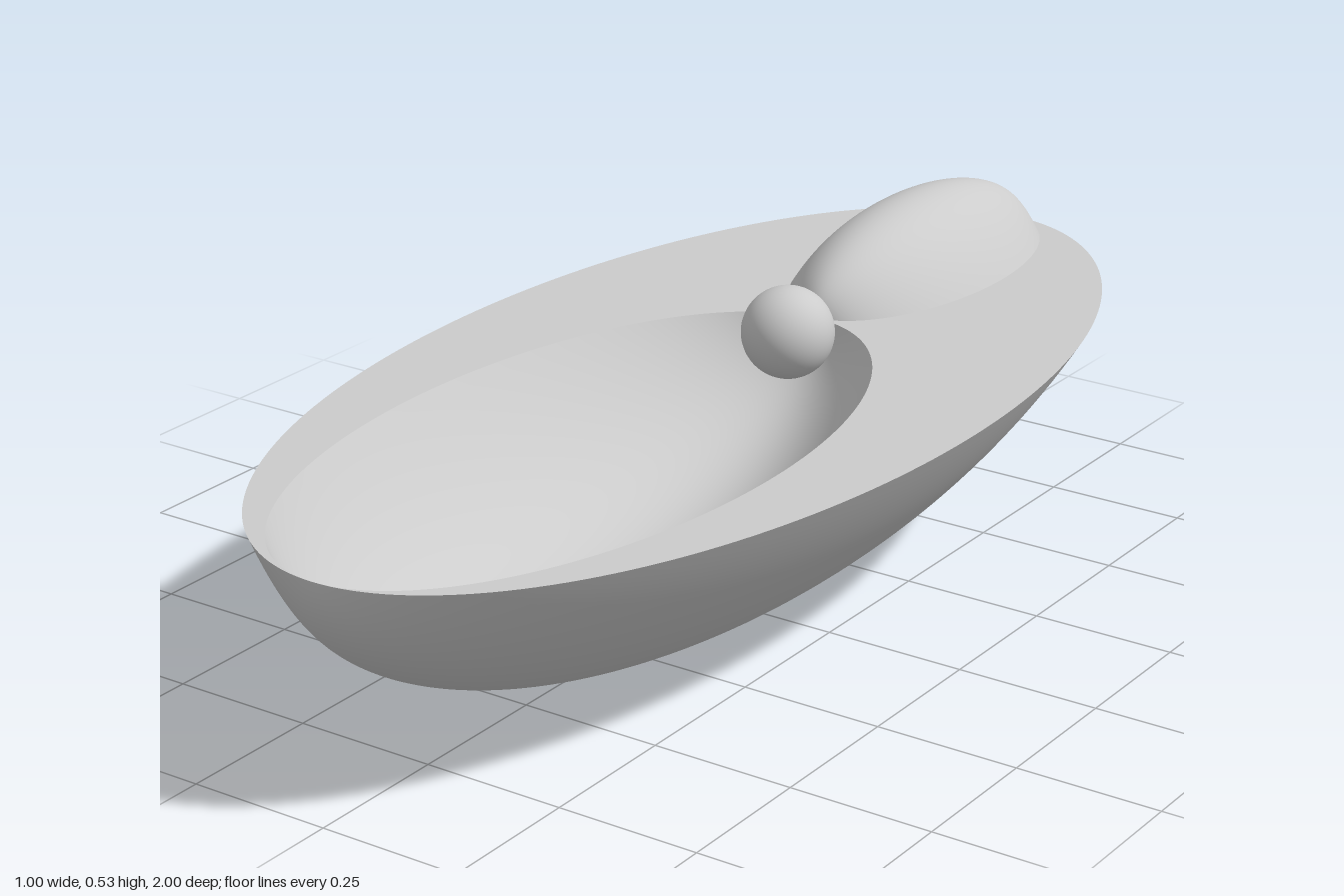
import * as THREE from 'three';

const RIM = 0.4; // height of the flat deck
const material = new THREE.MeshStandardMaterial({ color: 0xcccccc });

function addPart(group, name, geometry) {
  const mesh = new THREE.Mesh(geometry, material);
  mesh.name = name;
  group.add(mesh);
  return mesh;
}

// Half pod: parabolic cross-sections whose size follows an ellipse along z.
// up = 1 bulges upward, -1 sags downward; facing = 1 shows from above, -1 from below.
function podGeometry(scale, up, facing) {
  const geometry = new THREE.PlaneGeometry(2, 2, 64, 96);
  const p = geometry.attributes.position;
  for (let i = 0; i < p.count; i++) {
    const u = p.getX(i);
    const angle = p.getY(i) * Math.PI / 2;
    const s = Math.cos(angle) * scale;
    p.setXYZ(i, 0.5 * s * u, up * 0.4 * s * (1 - u * u), -facing * Math.sin(angle) * scale);
  }
  geometry.computeVertexNormals();
  return geometry;
}

// Flat oval deck with an oval opening that touches the front tip.
function deckGeometry() {
  const geometry = new THREE.RingGeometry(2 / 3, 1, 192, 1);
  geometry.rotateX(-Math.PI / 2);
  const p = geometry.attributes.position;
  for (let i = 0; i < p.count; i++) {
    const radius = Math.hypot(p.getX(i), p.getZ(i));
    p.setXYZ(i, p.getX(i) * 0.5, 0, p.getZ(i) + 1 - radius);
  }
  return geometry;
}

export function createModel() {
  const group = new THREE.Group();

  // Outer shell and its flat top
  addPart(group, 'hull', podGeometry(1, -1, -1)).position.y = RIM;
  addPart(group, 'deck', deckGeometry()).position.y = RIM;

  // Hollow in the front two thirds, raised dome over the back third
  addPart(group, 'bowl', podGeometry(2 / 3, -1, 1)).position.set(0, RIM, 1 / 3);
  addPart(group, 'dome', podGeometry(1 / 3, 1, 1)).position.set(0, RIM, -2 / 3);

  // Ball resting at the back end of the hollow
  addPart(group, 'ball', new THREE.SphereGeometry(0.08, 48, 32)).position.set(0, RIM, -0.25);

  return group;
}
